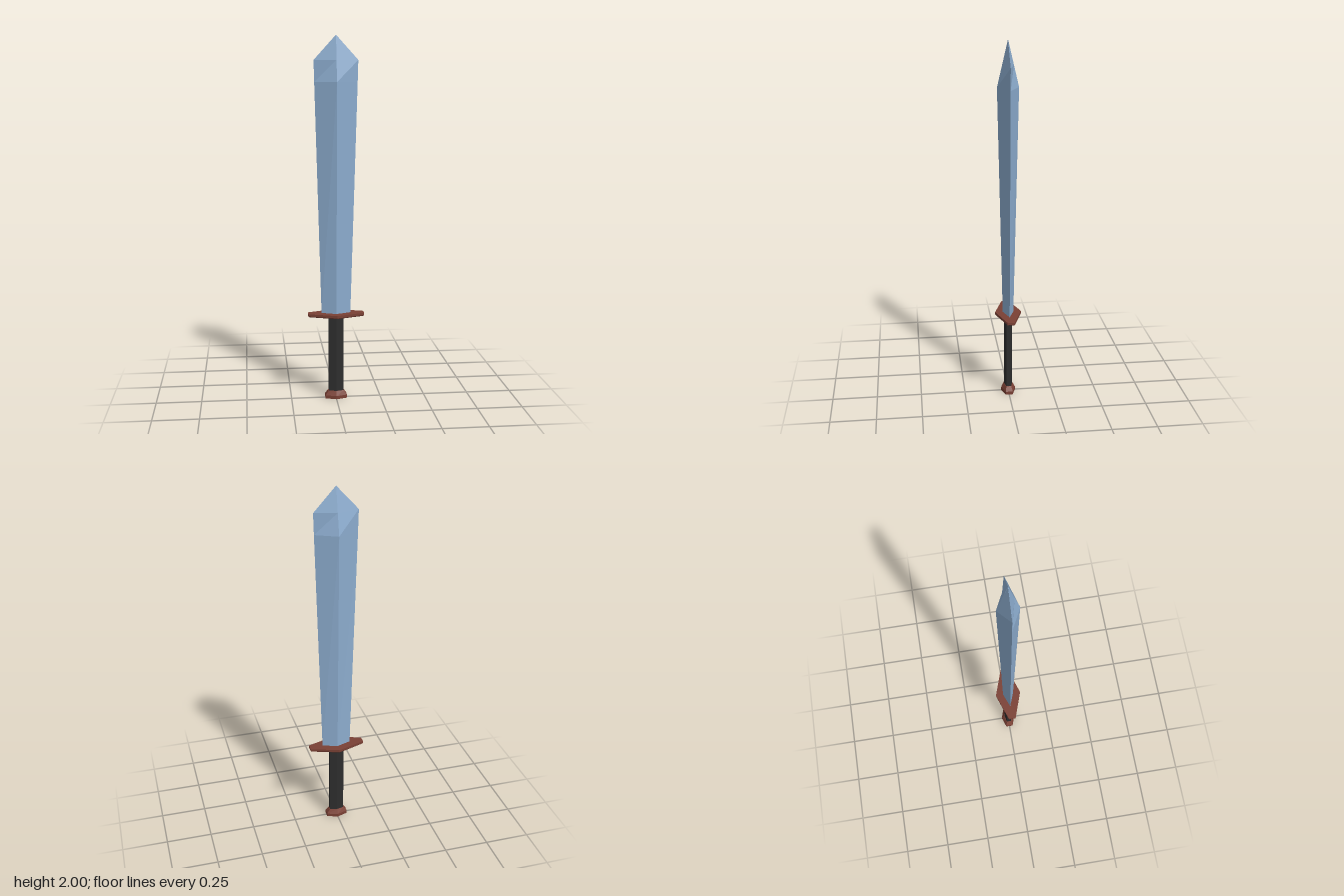
import * as THREE from 'three';

// Flattened hexagon: half width w, half depth d at the ridge, half depth e at the ends.
// With e = 0 it becomes a diamond. Corners run counter-clockwise seen from above.
function section(y, w, d, e = 0) {
  const corners = e > 0
    ? [[w, e], [w, -e], [0, -d], [-w, -e], [-w, e], [0, d]]
    : [[w, 0], [0, -d], [-w, 0], [0, d]];
  return corners.map(([x, z]) => [x, y, z]);
}

// Join stacked sections with flat walls and close both ends.
function loft(rings) {
  const pos = [];
  const tri = (...points) => points.forEach((p) => pos.push(...p));
  const n = rings[0].length;
  for (let r = 0; r < rings.length - 1; r++) {
    const a = rings[r], b = rings[r + 1];
    for (let i = 0; i < n; i++) {
      const j = (i + 1) % n;
      tri(a[i], a[j], b[j]);
      tri(a[i], b[j], b[i]);
    }
  }
  const bottom = rings[0], top = rings[rings.length - 1];
  for (let i = 1; i < n - 1; i++) {
    tri(bottom[0], bottom[i + 1], bottom[i]);
    tri(top[0], top[i], top[i + 1]);
  }
  const geometry = new THREE.BufferGeometry();
  geometry.setAttribute('position', new THREE.Float32BufferAttribute(pos, 3));
  geometry.computeVertexNormals();
  return geometry;
}

export function createModel() {
  const sword = new THREE.Group();
  sword.name = 'sword';
  const paint = (color) => new THREE.MeshStandardMaterial({ color, flatShading: true });
  const steel = paint(0x8cacce), wood = paint(0x7a4034), leather = paint(0x2d2d2d);

  const add = (name, material, rings) => {
    const mesh = new THREE.Mesh(loft(rings), material);
    mesh.name = name;
    sword.add(mesh);
  };

  // Blade widens upward, then the ridge and the edges converge at the tip
  add('blade', steel, [
    section(0.485, 0.08, 0.03),
    section(1.755, 0.116, 0.058),
    section(1.87, 0.119, 0.031),
    section(2, 0.0005, 0.0005),
  ]);

  // Thin pointed crossguard
  add('guard', wood, [
    section(0.473, 0.148, 0.07, 0.018),
    section(0.478, 0.155, 0.073, 0.02),
    section(0.491, 0.155, 0.073, 0.02),
  ]);

  // Grip
  add('grip', leather, [
    section(0.035, 0.04, 0.023, 0.013),
    section(0.476, 0.04, 0.023, 0.013),
  ]);

  // Pommel with a sloped shoulder
  add('pommel', wood, [
    section(0, 0.06, 0.04, 0.02),
    section(0.018, 0.06, 0.04, 0.02),
    section(0.043, 0.042, 0.026, 0.014),
  ]);

  return sword;
}
